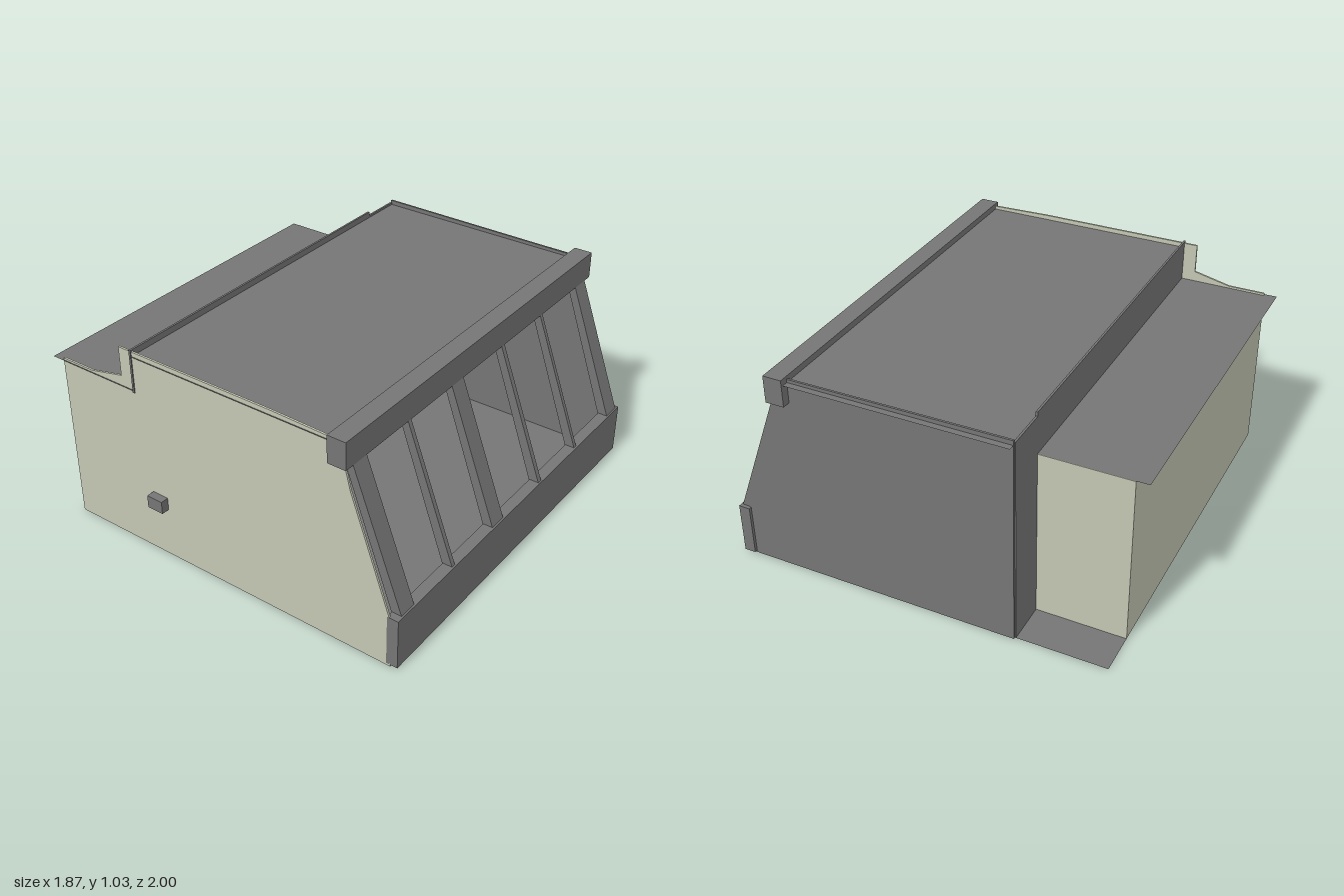
import * as THREE from 'three';

const dark = new THREE.MeshStandardMaterial({ color: 0x757575, side: THREE.DoubleSide });
const cream = new THREE.MeshStandardMaterial({ color: 0xc3c6b3, side: THREE.DoubleSide });

export function createModel() {
  const model = new THREE.Group();

  const add = (name, geometry, material) => {
    const mesh = new THREE.Mesh(geometry, material);
    mesh.name = name;
    model.add(mesh);
    return mesh;
  };
  // Box given by its lower and upper limits on each axis
  const box = (name, [x0, x1], [y0, y1], [z0, z1], material = dark) =>
    add(name, new THREE.BoxGeometry(x1 - x0, y1 - y0, z1 - z0)
      .translate((x0 + x1) / 2, (y0 + y1) / 2, (z0 + z1) / 2), material);
  // Horizontal sheet at height y
  const sheet = (name, [x0, x1], [z0, z1], y) =>
    add(name, new THREE.PlaneGeometry(x1 - x0, z1 - z0).rotateX(-Math.PI / 2)
      .translate((x0 + x1) / 2, y, (z0 + z1) / 2), dark);
  // Side profile in x and y, extruded from z0 to z1
  const profile = (name, points, z0, z1, material) => {
    const shape = new THREE.Shape(points.map(([x, y]) => new THREE.Vector2(x, y)));
    return add(name, new THREE.ExtrudeGeometry(shape, { depth: z1 - z0, bevelEnabled: false })
      .translate(0, 0, z0), material);
  };

  // Floor and roofs
  sheet('floor', [-0.88, 0.89], [-0.95, 0.96], 0);
  sheet('mainRoof', [-0.45, 0.6], [-0.99, 0.965], 1.0);
  sheet('lowerRoof', [-0.94, -0.45], [-0.75, 0.965], 0.83);

  // End walls following the slope of the window side
  const slope = [[0.89, 0], [0.88, 0.26], [0.69, 0.8], [0.66, 0.92], [0.6, 1.015]];
  profile('frontWall', [[-0.88, 0], ...slope, [0.3, 1.022], [-0.52, 1.022],
    [-0.52, 0.88], [-0.7, 0.84], [-0.88, 0.84]], 0.95, 0.96, cream);
  profile('backWall', [[-0.45, 0], ...slope, [-0.45, 1.022]], -0.96, -0.95, dark);

  // Inner step wall: full height beside the extension, open below its roof
  box('stepWall', [-0.455, -0.445], [0, 1.01], [-0.95, -0.75]);
  box('stepWallUpper', [-0.455, -0.445], [0.82, 1.03], [-0.75, 0.965]);

  // Lower extension
  box('extensionSideWall', [-0.88, -0.87], [0, 0.828], [-0.75, 0.95], cream);
  box('extensionBackWall', [-0.87, -0.45], [0, 0.828], [-0.75, -0.74], cream);

  // Window side: top beam, base panel and sloping mullions
  box('topBeam', [0.59, 0.68], [0.9, 1.03], [-1, 0.975]);
  box('basePanel', [0.87, 0.925], [0.01, 0.26], [-0.975, 0.96]);
  const bar = [[0.87, 0.25], [0.92, 0.25], [0.675, 0.905], [0.635, 0.905]];
  const mullions = [[0.835, 0.925], [0.53, 0.552], [0.135, 0.225],
    [-0.205, -0.18], [-0.545, -0.525], [-0.957, -0.865]];
  mullions.forEach(([z0, z1], i) => profile(`mullion${i + 1}`, bar, z0, z1, dark));

  // Small block on the front wall
  box('wallBlock', [-0.395, -0.31], [0.257, 0.32], [0.93, 1]);

  return model;
}
